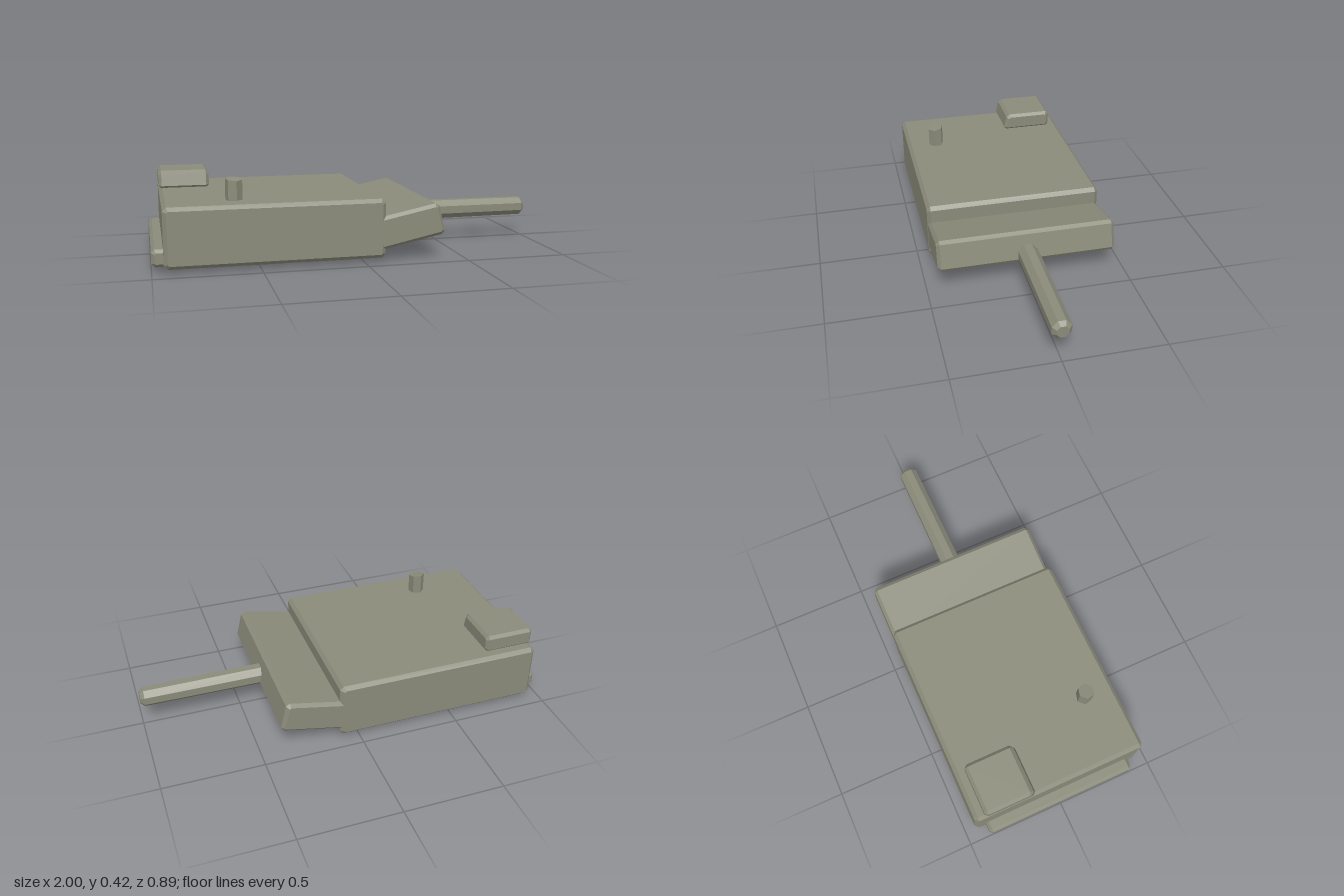
import * as THREE from 'three';

const material = new THREE.MeshStandardMaterial({ color: 0x8b8b7a, flatShading: true });

function part(name, geometry) {
  const mesh = new THREE.Mesh(geometry, material);
  mesh.name = name;
  return mesh;
}

// Prism along z from a counter-clockwise profile, all edges chamfered by c.
function chamferedPrism(profile, halfDepth, c) {
  const pts = profile.map(([x, y]) => new THREE.Vector2(x, y));
  const outline = [];
  pts.forEach((p, i) => {
    const prev = pts[(i + pts.length - 1) % pts.length];
    const next = pts[(i + 1) % pts.length];
    for (const q of [prev, next]) {
      outline.push(q.clone().sub(p).setLength(c).add(p));
    }
  });
  const geometry = new THREE.ExtrudeGeometry(new THREE.Shape(outline), {
    depth: 2 * (halfDepth - c), bevelEnabled: true, bevelSegments: 1,
    bevelThickness: c, bevelSize: c, bevelOffset: -c,
  });
  return geometry.translate(0, 0, c - halfDepth);
}

const rect = (x0, y0, x1, y1) => [[x0, y0], [x1, y0], [x1, y1], [x0, y1]];

export function createModel() {
  const model = new THREE.Group();
  model.name = 'turret';

  // Main armoured box and the tilted gun shield in front of it
  model.add(part('turretBody', chamferedPrism(rect(-0.945, 0.022, 0.1, 0.31), 0.447, 0.018)));
  model.add(part('gunShield', chamferedPrism(
    [[0.06, 0.055], [0.402, 0.127], [0.366, 0.28], [0.06, 0.217]], 0.445, 0.016)));

  // Eight-sided barrel with a chamfered muzzle
  const barrelProfile = [[0, 0.33], [0.053, 0.33], [0.05, 0.98], [0.031, 1], [0, 1]]
    .map(([r, x]) => new THREE.Vector2(r, x));
  const barrel = new THREE.LatheGeometry(barrelProfile, 8, Math.PI / 8);
  barrel.rotateZ(-Math.PI / 2).translate(0, 0.165, 0);
  model.add(part('barrel', barrel));

  // Roof hatch with a sloped front, its profile swept across x
  const hatch = chamferedPrism(
    [[0.128, 0.305], [0.396, 0.305], [0.396, 0.396], [0.148, 0.396]], 0.128, 0.015);
  hatch.rotateY(Math.PI / 2).translate(-0.817, 0, 0);
  model.add(part('roofHatch', hatch));

  // Small six-sided periscope with a slanted top
  const periscope = new THREE.CylinderGeometry(0.041, 0.041, 0.1, 6, 1, false, 0.25);
  const pp = periscope.attributes.position;
  for (let i = 0; i < pp.count; i++) {
    if (pp.getY(i) > 0) pp.setY(i, 0.052 - 0.15 * pp.getZ(i) - 0.06 * pp.getX(i));
  }
  periscope.translate(-0.607, 0.357, 0.29);
  model.add(part('periscope', periscope));

  // Bar across the lower rear
  model.add(part('rearBar', chamferedPrism(rect(-1, 0.025, -0.92, 0.108), 0.392, 0.015)));

  // Shallow turret ring below, lifted at its two side points
  const ring = new THREE.CylinderGeometry(0.36, 0.34, 0.03, 12);
  const rp = ring.attributes.position;
  for (let i = 0; i < rp.count; i++) {
    if (rp.getY(i) < 0 && Math.abs(rp.getZ(i)) > 0.33) rp.setY(i, 0.003);
  }
  ring.translate(-0.345, 0.015, 0);
  model.add(part('turretRing', ring));

  return model;
}
